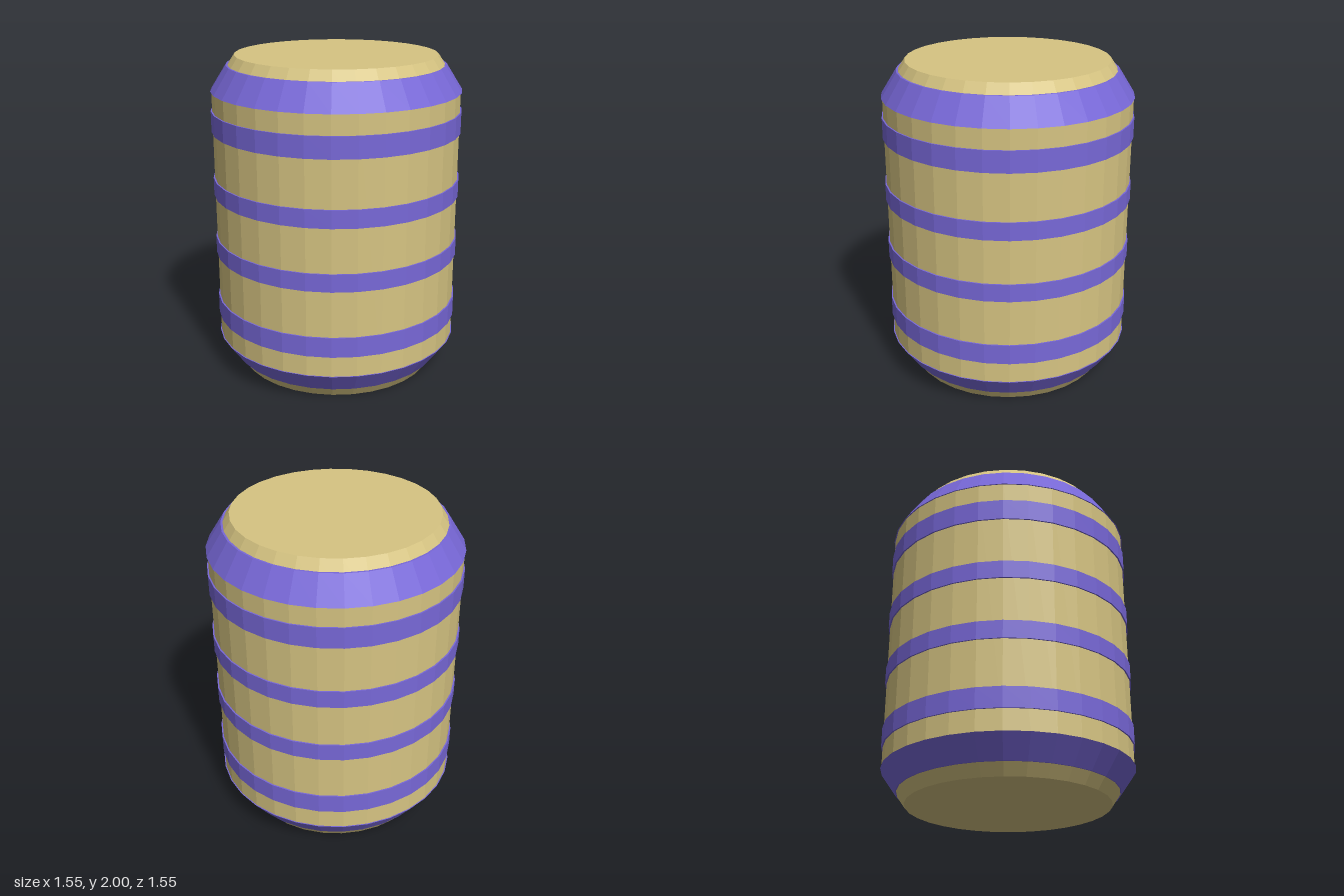
import * as THREE from 'three';

const SIDES = 32;

// Faceted solid of revolution from [radius, y] points, listed bottom to top on the outside
function turned(name, profile, color) {
  const points = profile.map(([r, y]) => new THREE.Vector2(r, y));
  const material = new THREE.MeshStandardMaterial({ color, flatShading: true });
  const mesh = new THREE.Mesh(new THREE.LatheGeometry(points, SIDES), material);
  mesh.name = name;
  return mesh;
}

export function createModel() {
  const tan = 0xd6c482, purple = 0x7868d8;
  const group = new THREE.Group();
  group.name = 'barrel';

  // Body with chamfered ends and flat caps
  group.add(turned('body', [
    [0, 0], [0.622, 0], [0.765, 0.205], [0.765, 1.785], [0.622, 2], [0, 2],
  ], tan));

  // Straight hoops around the side
  const hoops = [[0.335, 0.46], [0.75, 0.86], [1.135, 1.245], [1.535, 1.665]];
  hoops.forEach(([y0, y1], i) => {
    group.add(turned(`hoop${i + 1}`, [
      [0.755, y0], [0.774, y0], [0.774, y1], [0.755, y1],
    ], purple));
  });

  // Sloped hoops on the chamfers
  group.add(turned('bottomHoop', [
    [0.65, 0.07], [0.677, 0.07], [0.772, 0.205], [0.755, 0.205],
  ], purple));
  group.add(turned('topHoop', [
    [0.755, 1.785], [0.772, 1.785], [0.674, 1.94], [0.65, 1.94],
  ], purple));

  return group;
}
